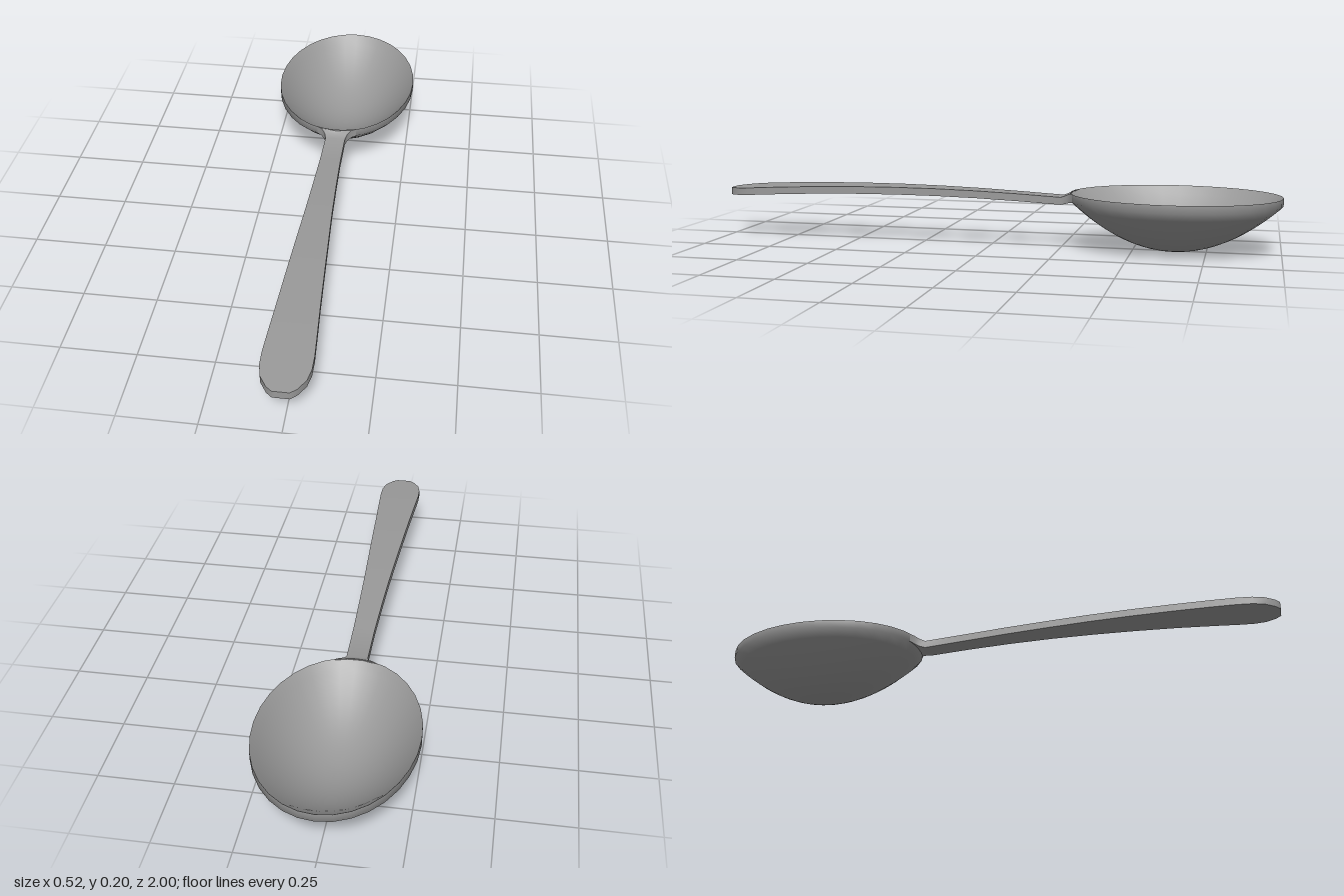
import * as THREE from 'three';
import { toCreasedNormals } from 'three/addons/utils/BufferGeometryUtils.js';

const BOWL = { z: -0.64, halfWidth: 0.261, halfLength: 0.36, depth: 0.167, wall: 0.028 };

// Elliptical paraboloid shell with a thin upright rim
function bowlGeometry() {
  const steps = 12;
  const outer = [], inner = [];
  for (let i = 0; i <= steps; i++) {
    const r = i / steps;
    const y = BOWL.depth * r * r;
    outer.push(new THREE.Vector2(r, y));
    inner.unshift(new THREE.Vector2(r, y + BOWL.wall));
  }
  const g = new THREE.LatheGeometry([...outer, ...inner], 32);
  g.scale(BOWL.halfWidth, 1, BOWL.halfLength);
  g.translate(0, 0, BOWL.z);
  return toCreasedNormals(g, 0.9);
}

// Arched handle: each row is [z, half width, bottom y, top y]
function handleGeometry() {
  const rows = [
    [-0.298, 0.076, 0.166, 0.195],
    [-0.285, 0.055, 0.163, 0.194],
    [-0.27, 0.042, 0.157, 0.186],
    [-0.25, 0.036, 0.152, 0.178],
  ];
  const arch = (z) => 0.197 - 0.052 * ((z - 0.36) / 0.98) ** 2;
  const outline = [
    [-0.1, 0.037], [0.05, 0.041], [0.2, 0.046], [0.35, 0.053], [0.5, 0.06], [0.65, 0.067],
    [0.78, 0.074], [0.86, 0.078], [0.91, 0.077], [0.95, 0.068], [0.985, 0.045], [1, 0.026],
  ];
  for (const [z, w] of outline) rows.push([z, w, arch(z) - 0.026, arch(z)]);

  const n = rows.length - 1;
  const g = new THREE.BoxGeometry(2, 1, 1, 6, 1, n);
  const p = g.attributes.position;
  for (let i = 0; i < p.count; i++) {
    const [z, w, low, high] = rows[Math.round((p.getZ(i) + 0.5) * n)];
    const x = p.getX(i) * w;
    // The neck stops at the edge of the bowl
    const edge = BOWL.z + (BOWL.halfLength - 0.004) * Math.sqrt(1 - (x / BOWL.halfWidth) ** 2);
    p.setXYZ(i, x, p.getY(i) > 0 ? high : low, Math.max(z, edge));
  }
  return toCreasedNormals(g, 0.7);
}

export function createModel() {
  const metal = new THREE.MeshStandardMaterial({ color: 0x999999 });
  metal.name = 'grey metal';
  const group = new THREE.Group();
  group.name = 'spoon';
  const add = (name, geometry) => {
    const mesh = new THREE.Mesh(geometry, metal);
    mesh.name = name;
    group.add(mesh);
  };
  add('bowl', bowlGeometry());
  add('handle', handleGeometry());
  return group;
}
